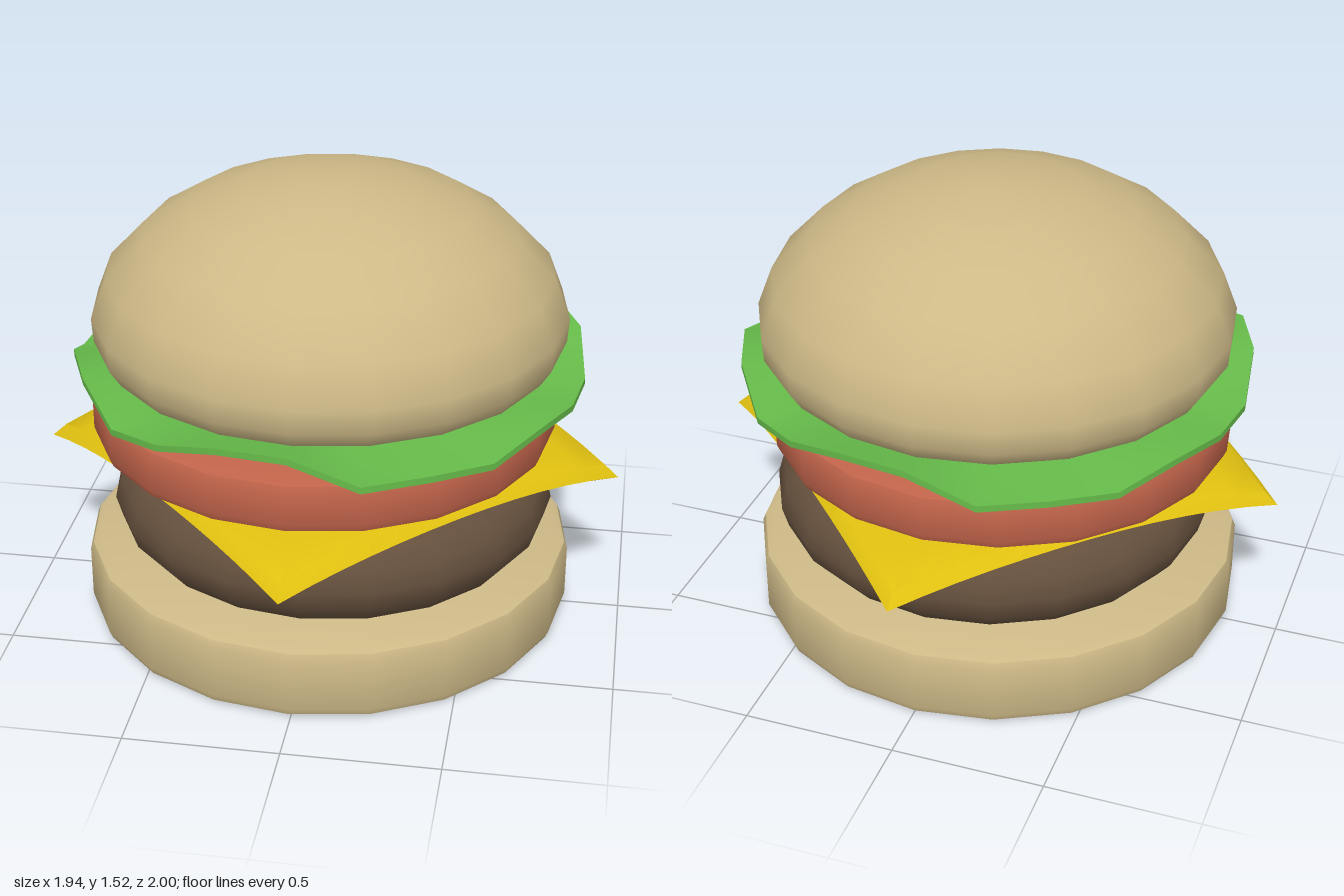
import * as THREE from 'three';
import { toCreasedNormals } from 'three/addons/utils/BufferGeometryUtils.js';

// Moves every vertex of a geometry by a rule
function reshape(geometry, rule) {
  const pos = geometry.attributes.position;
  const v = new THREE.Vector3();
  for (let i = 0; i < pos.count; i++) {
    v.fromBufferAttribute(pos, i);
    rule(v);
    pos.setXYZ(i, v.x, v.y, v.z);
  }
  return geometry;
}

function makePart(name, geometry, color, crease = 0.65) {
  const mesh = new THREE.Mesh(
    toCreasedNormals(geometry, crease),
    new THREE.MeshStandardMaterial({ color })
  );
  mesh.name = name;
  return mesh;
}

// Round layer from [radius, height] points, listed bottom to top
function lathe(profile, sides = 20) {
  return new THREE.LatheGeometry(profile.map(([r, y]) => new THREE.Vector2(r, y)), sides);
}

// Flat disc with bevelled rims
function disc(radius, y0, y1, bevel) {
  return lathe([
    [0, y0], [radius - bevel, y0], [radius - bevel * 0.3, y0 + bevel * 0.3], [radius, y0 + bevel],
    [radius, y1 - bevel], [radius - bevel * 0.3, y1 - bevel * 0.3], [radius - bevel, y1], [0, y1],
  ]);
}

// Square slice with a bevelled edge, turned to a diamond, corners drooping
function cheeseGeometry() {
  const size = Math.SQRT2;
  const slice = new THREE.BoxGeometry(size, 0.056, size, 12, 2, 12);
  return reshape(slice, (v) => {
    if (Math.abs(v.y) > 0.01) { v.x *= 0.95; v.z *= 0.95; }
    v.applyAxisAngle(new THREE.Vector3(0, 1, 0), Math.PI / 4);
    const r = Math.hypot(v.x, v.z) || 1;
    const alongX = (v.x / r) ** 2;
    const droop = 0.19 + 0.11 * alongX;
    v.y += 0.611 - droop * Math.max(0, r - 0.4) ** 2;
    v.x *= 0.97;
  });
}

// Thin leaf with a wavy rim; the wave repeats every half turn
function lettuceGeometry() {
  const rim = [0.85, 0.935, 0.935, 0.855, 0.885, 0.935, 0.935, 0.84, 0.85, 0.835, 0.88, 0.86];
  const t = 0.011;
  const leaf = lathe([
    [0, -t], [0.5, -t], [0.68, -t], [0.84, -t], [0.84, t], [0.68, t], [0.5, t], [0, t],
  ], 24);
  return reshape(leaf, (v) => {
    const r = Math.hypot(v.x, v.z);
    const step = Math.round(Math.atan2(-v.z, v.x) / (Math.PI / 12));
    const weight = Math.max(0, (r - 0.5) / 0.34);
    v.y += THREE.MathUtils.lerp(0.862, rim[(step + 24) % 12], weight);
  });
}

export function createModel() {
  const model = new THREE.Group();
  model.name = 'burger';
  const bun = 0xcdb987;

  const bottomBun = makePart('bottomBun', disc(0.82, 0, 0.248, 0.035), bun);
  bottomBun.position.x = -0.005;

  const patty = makePart('patty', lathe([
    [0, 0.255], [0.6, 0.255], [0.67, 0.28], [0.72, 0.34], [0.74, 0.41],
    [0.72, 0.48], [0.68, 0.53], [0.62, 0.562], [0, 0.562],
  ]), 0x65503d);
  patty.position.x = 0.01;

  const cheese = makePart('cheese', cheeseGeometry(), 0xe0c010);

  const tomato = makePart('tomato', disc(0.77, 0.64, 0.815, 0.035), 0xc0634a);
  tomato.position.x = -0.02;

  const lettuce = makePart('lettuce', lettuceGeometry(), 0x66bb4a);

  const topBun = makePart('topBun', lathe([
    [0, 0.912], [0.68, 0.912], [0.74, 0.935], [0.775, 0.99], [0.78, 1.07], [0.73, 1.2],
    [0.605, 1.33], [0.46, 1.42], [0.28, 1.485], [0.1, 1.515], [0, 1.518],
  ]), bun);

  model.add(bottomBun, patty, cheese, tomato, lettuce, topBun);
  return model;
}
